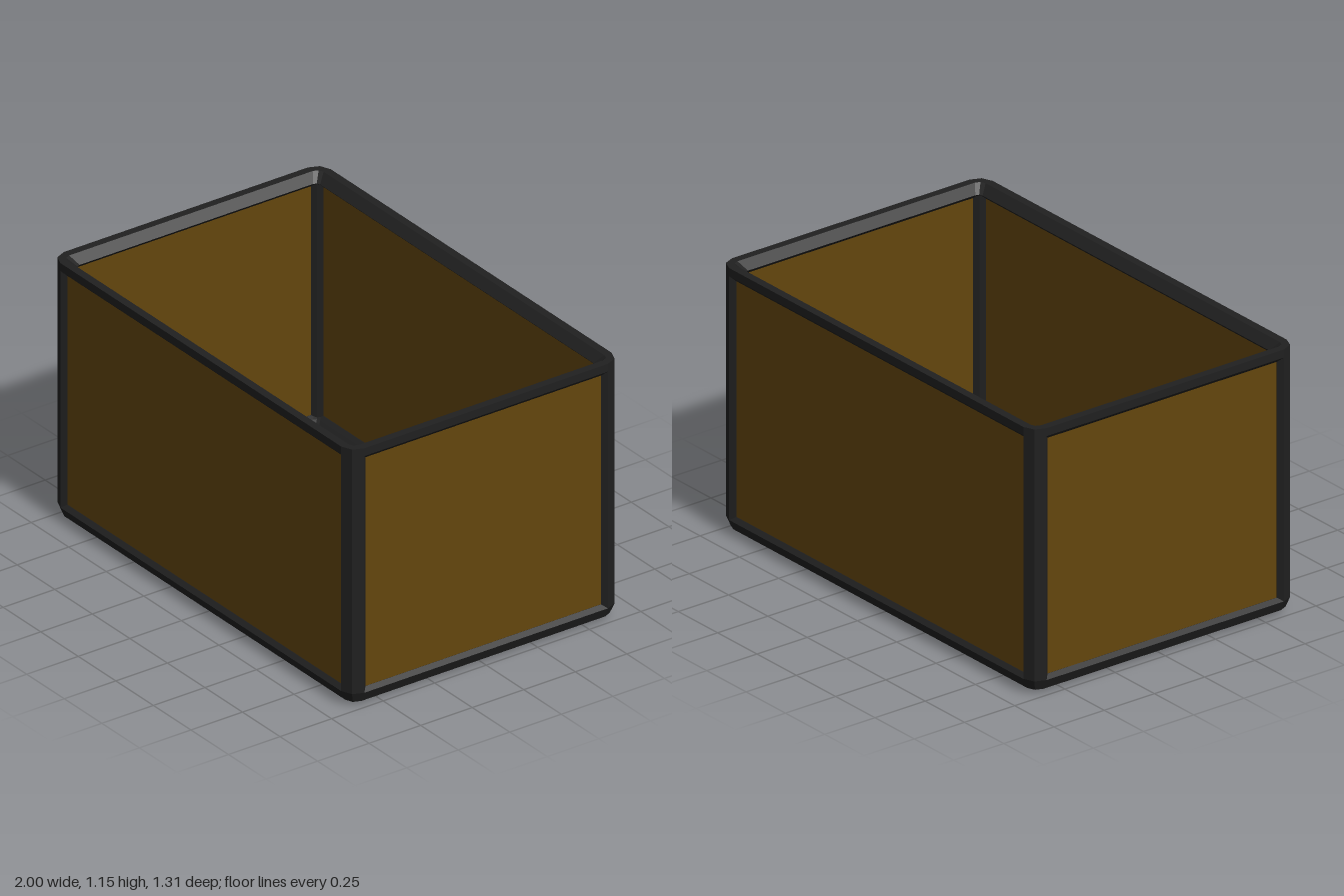
import * as THREE from 'three';

const HX = 1, HZ = 0.656, H = 1.155, R = 0.065;

// Rounded-rectangle loop, pulled in from the outer footprint
function loop(inset) {
  const r = Math.max(R - inset, 0.02);
  const cx = HX - inset - r, cz = HZ - inset - r;
  const pts = [];
  [[1, 1], [-1, 1], [-1, -1], [1, -1]].forEach(([sx, sz], q) => {
    for (let k = 0; k <= 2; k++) {
      const a = (q + k / 2) * Math.PI / 2;
      pts.push([sx * cx + r * Math.cos(a), sz * cz + r * Math.sin(a)]);
    }
  });
  return pts;
}

// Sweeps a closed [inset, y] profile around the footprint, flat shaded
function ringGeometry(profile) {
  const rows = profile.map(([inset, y]) => loop(inset).map(([x, z]) => [x, y, z]));
  const pos = [];
  for (let i = 0; i < rows.length; i++) {
    const lo = rows[i], hi = rows[(i + 1) % rows.length];
    for (let j = 0; j < lo.length; j++) {
      const n = (j + 1) % lo.length;
      pos.push(...lo[j], ...hi[j], ...hi[n], ...lo[j], ...hi[n], ...lo[n]);
    }
  }
  const g = new THREE.BufferGeometry();
  g.setAttribute('position', new THREE.Float32BufferAttribute(pos, 3));
  g.computeVertexNormals();
  return g;
}

export function createModel() {
  const model = new THREE.Group();
  model.name = 'openCrate';
  const frame = new THREE.MeshStandardMaterial({ color: 0x202020 });
  frame.name = 'dark frame';
  const wood = new THREE.MeshStandardMaterial({ color: 0x64460d });
  wood.name = 'brown panel';

  const add = (name, geometry, material, x = 0, y = 0, z = 0) => {
    const m = new THREE.Mesh(geometry, material);
    m.name = name;
    m.position.set(x, y, z);
    model.add(m);
    return m;
  };

  // Rim with an inward slope, and bottom rail with a bevelled foot
  add('topRim', ringGeometry([
    [0, 1.12], [0, H], [0.035, H], [0.07, 1.12], [0.05, 1.1], [0.02, 1.1],
  ]), frame);
  add('bottomRail', ringGeometry([
    [0.065, 0.002], [0.02, 0.02], [0, 0.065], [0.02, 0.08], [0.05, 0.08],
    [0.07, 0.07], [0.105, 0.045], [0.105, 0.002],
  ]), frame);

  // Corner posts, bevelled towards the recessed panels
  const section = [
    [0, R], [0.019, 0.019], [R, 0], [0.085, 0.02], [0.085, 0.05],
    [0.07, 0.07], [0.05, 0.085], [0.02, 0.085],
  ];
  for (const sx of [1, -1]) for (const sz of [1, -1]) {
    const shape = new THREE.Shape(section.map(([u, v]) =>
      new THREE.Vector2(sx * (HX - u), -sz * (HZ - v))));
    const g = new THREE.ExtrudeGeometry(shape, { depth: 1.055, bevelEnabled: false });
    g.rotateX(-Math.PI / 2);
    add(`${sz > 0 ? 'front' : 'back'}${sx > 0 ? 'Left' : 'Right'}Post`, g, frame, 0, 0.065, 0);
  }

  // Recessed wall panels
  const midY = 0.59, wallH = 1.04;
  for (const s of [1, -1]) {
    add(s > 0 ? 'frontPanel' : 'backPanel',
      new THREE.BoxGeometry(1.85, wallH, 0.028), wood, 0, midY, s * (HZ - 0.035));
    add(s > 0 ? 'leftPanel' : 'rightPanel',
      new THREE.BoxGeometry(0.028, wallH, 1.16), wood, s * (HX - 0.035), midY, 0);
  }

  // Underside plate and inner floor
  const plate = (hx, hz, c, depth) => {
    const shape = new THREE.Shape([
      [hx, c - hz], [hx, hz - c], [hx - c, hz], [c - hx, hz],
      [-hx, hz - c], [-hx, c - hz], [c - hx, -hz], [hx - c, -hz],
    ].map(([x, y]) => new THREE.Vector2(x, y)));
    return new THREE.ExtrudeGeometry(shape, { depth, bevelEnabled: false }).rotateX(-Math.PI / 2);
  };
  add('underside', plate(HX - R, HZ - R, 0.01, 0.03), wood);
  add('floor', plate(0.895, 0.568, 0.015, 0.025), wood, 0, 0.032, 0);
  return model;
}
